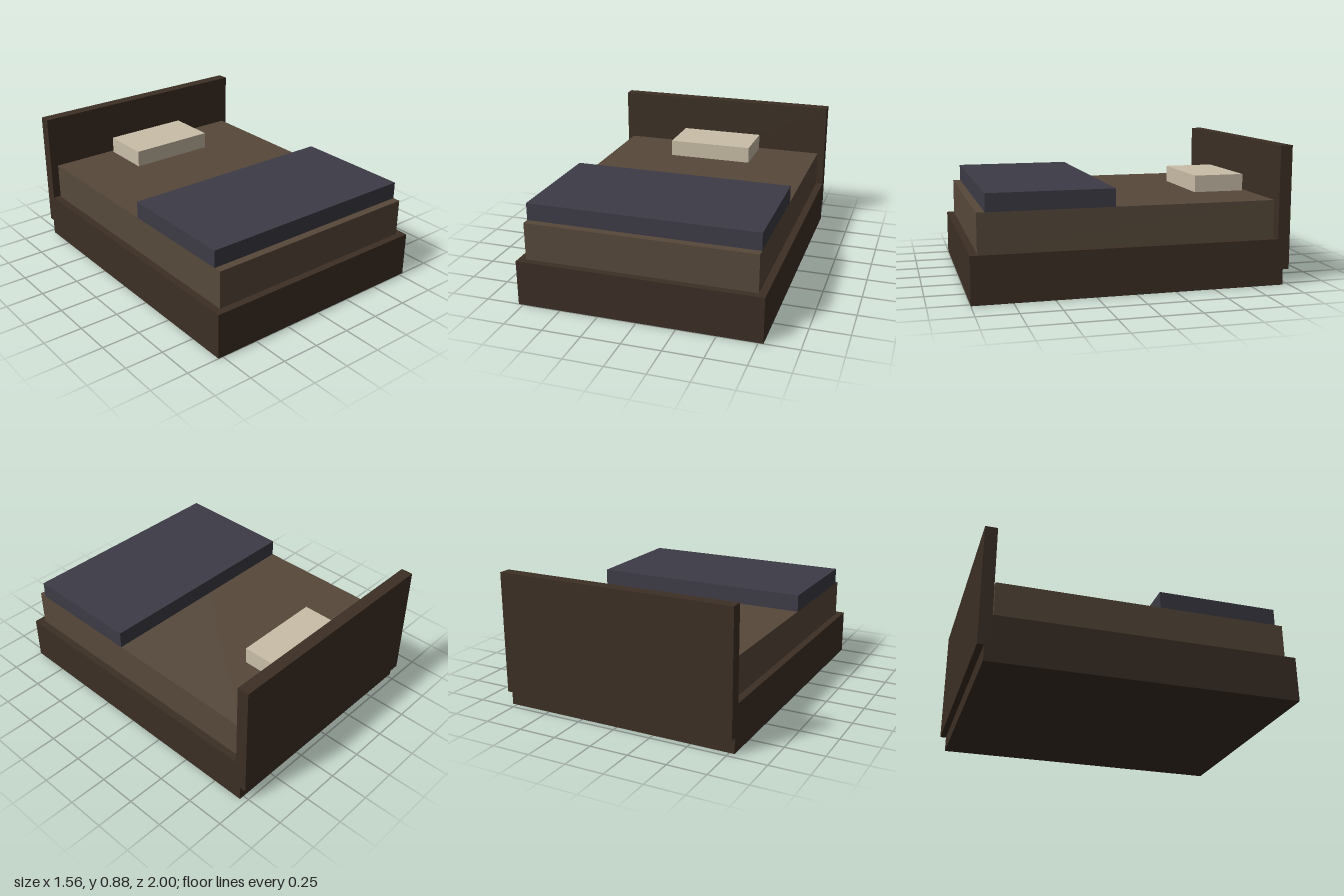
import * as THREE from 'three';

// Box given by its half width and its y and z ranges, centred on x = 0
function slab(name, color, halfWidth, [y0, y1], [z0, z1]) {
  const mesh = new THREE.Mesh(
    new THREE.BoxGeometry(halfWidth * 2, y1 - y0, z1 - z0),
    new THREE.MeshStandardMaterial({ color })
  );
  mesh.position.set(0, (y0 + y1) / 2, (z0 + z1) / 2);
  mesh.name = name;
  return mesh;
}

export function createModel() {
  const wood = 0x3c2f25;
  const bed = new THREE.Group();
  bed.name = 'bed';
  bed.add(
    // Wooden base and the headboard overlapping its rear end
    slab('bedFrame', wood, 0.782, [0, 0.295], [-0.96, 1]),
    slab('headboard', wood, 0.782, [0.1, 0.883], [-1, -0.922]),
    // Bedding
    slab('mattress', 0x57493b, 0.735, [0.295, 0.537], [-0.91, 0.953]),
    slab('blanket', 0x3d3b45, 0.735, [0.537, 0.648], [0.12, 0.903]),
    slab('pillow', 0xc9bea7, 0.292, [0.537, 0.648], [-0.886, -0.547])
  );
  return bed;
}
